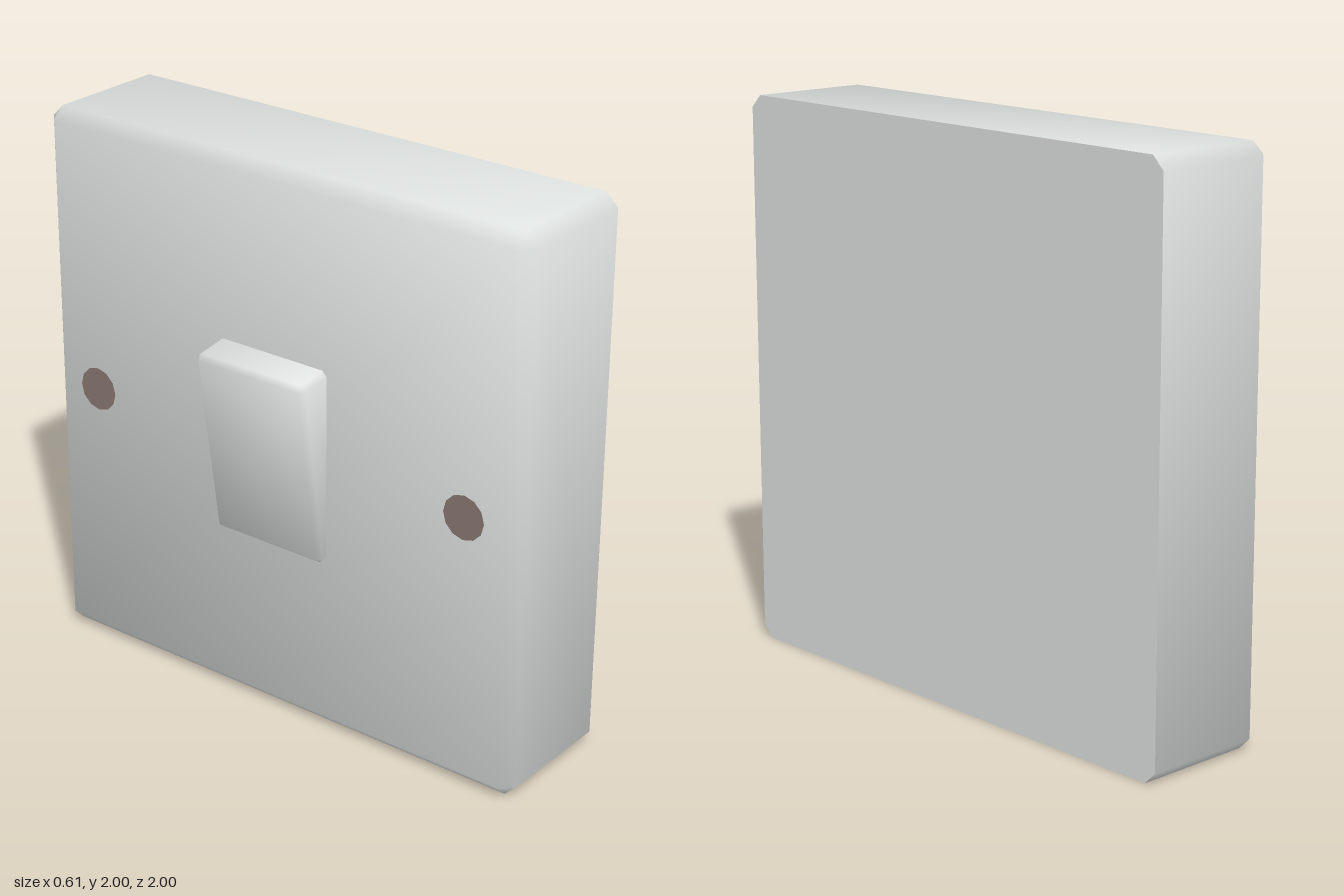
import * as THREE from 'three';

// Block facing -x: chamfered front rim and corners, flat hard-edged back.
// Front at x = 0, back at x = depth, centred on y and z.
function bevelledBlock(depth, hy, hz, b) {
  const back = [], mid = [], front = [];
  for (const [sy, sz] of [[1, 1], [1, -1], [-1, -1], [-1, 1]]) {
    const onTop = [sy * hy, sz * (hz - b)], onSide = [sy * (hy - b), sz * hz];
    const pair = sy * sz > 0 ? [onSide, onTop] : [onTop, onSide];
    for (const [y, z] of pair) {
      back.push(new THREE.Vector3(depth, y, z));
      mid.push(new THREE.Vector3(b, y, z));
    }
    front.push(new THREE.Vector3(0, sy * (hy - b), sz * (hz - b)));
  }
  const tris = [];
  const quad = (a, c, d, e) => tris.push([a, c, d], [a, d, e]);
  quad(...front);
  for (let i = 0; i < 8; i++) {
    const j = (i + 1) % 8, c = i >> 1;
    quad(back[i], back[j], mid[j], mid[i]);
    if (i % 2) quad(mid[i], mid[j], front[(c + 1) % 4], front[c]);
    else tris.push([mid[i], mid[j], front[c]]);
  }

  // Turn every face outwards and sum smooth normals weighted by corner angle
  const centre = new THREE.Vector3(depth / 2, 0, 0);
  const normals = new Map();
  for (const t of tris) {
    const n = new THREE.Triangle(...t).getNormal(new THREE.Vector3());
    if (n.dot(t[0].clone().sub(centre)) < 0) {
      t.reverse();
      n.negate();
    }
    t.forEach((p, k) => {
      const u = t[(k + 1) % 3].clone().sub(p), v = t[(k + 2) % 3].clone().sub(p);
      if (!normals.has(p)) normals.set(p, new THREE.Vector3());
      normals.get(p).addScaledVector(n, u.angleTo(v));
    });
  }
  const pos = [], nor = [];
  for (const t of tris) for (const p of t) {
    pos.push(...p.toArray());
    nor.push(...normals.get(p).clone().normalize().toArray());
  }

  // Flat back
  for (let i = 1; i < 7; i++) {
    const t = [back[0], back[i], back[i + 1]];
    if (new THREE.Triangle(...t).getNormal(new THREE.Vector3()).x < 0) t.reverse();
    for (const p of t) {
      pos.push(...p.toArray());
      nor.push(1, 0, 0);
    }
  }
  const g = new THREE.BufferGeometry();
  g.setAttribute('position', new THREE.Float32BufferAttribute(pos, 3));
  g.setAttribute('normal', new THREE.Float32BufferAttribute(nor, 3));
  return g;
}

export function createModel() {
  const group = new THREE.Group();
  const plastic = new THREE.MeshStandardMaterial({ color: 0xdbdfdd });
  plastic.name = 'pale grey plastic';
  const metal = new THREE.MeshStandardMaterial({ color: 0x86766e });
  metal.name = 'brown screw metal';

  const add = (name, geometry, material, x, y, z) => {
    const mesh = new THREE.Mesh(geometry, material);
    mesh.name = name;
    mesh.position.set(x, y, z);
    group.add(mesh);
    return mesh;
  };

  // Wall box
  add('switchPlate', bevelledBlock(0.487, 1, 1, 0.045), plastic, -0.182, 1, 0);

  // Tilted rocker, sunk into the plate
  add('rocker', bevelledBlock(0.22, 0.347, 0.23, 0.018), plastic, -0.261, 0.988, 0)
    .rotation.z = 0.145;

  // Screw heads on either side
  for (const s of [-1, 1]) {
    add(s > 0 ? 'frontScrew' : 'backScrew', new THREE.CircleGeometry(0.08, 12), metal, -0.186, 1, s * 0.79)
      .rotation.y = -Math.PI / 2;
  }
  return group;
}
